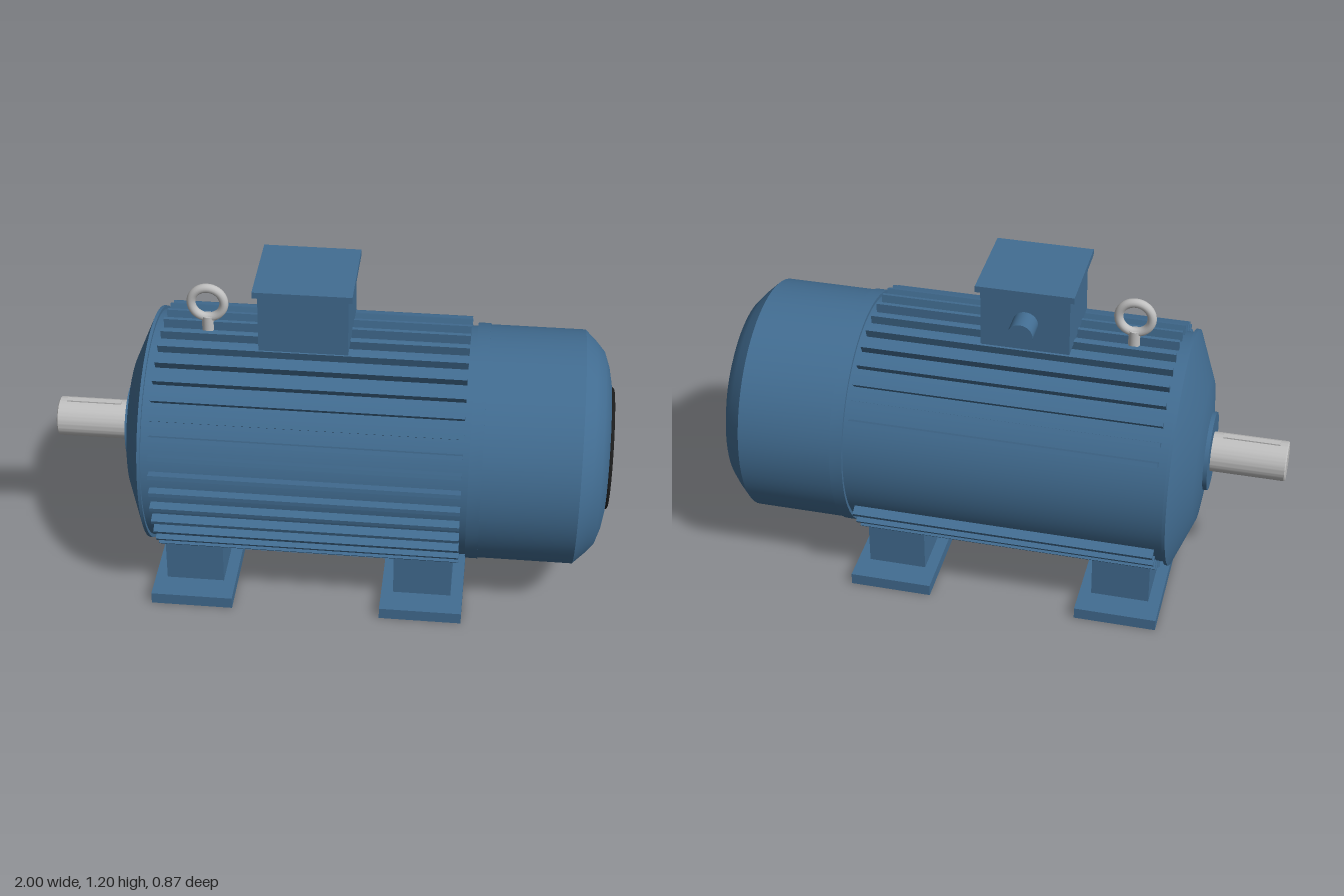
import * as THREE from 'three';
import { toCreasedNormals } from 'three/addons/utils/BufferGeometryUtils.js';

const AXIS_Y = 0.527, AXIS_Z = -0.011;

export function createModel() {
  const paint = new THREE.MeshStandardMaterial({ color: 0x426d92 });
  paint.name = 'blue paint';
  const steel = new THREE.MeshStandardMaterial({ color: 0xc0c0c0 });
  steel.name = 'bare steel';
  const black = new THREE.MeshStandardMaterial({ color: 0x1c1c1c });
  black.name = 'black grille';

  const model = new THREE.Group();
  model.name = 'electricMotor';

  const add = (name, geometry, material, x, y, z, parent = model) => {
    const mesh = new THREE.Mesh(geometry, material);
    mesh.name = name;
    mesh.position.set(x, y, z);
    parent.add(mesh);
    return mesh;
  };
  // Box given by its minimum and maximum on each axis
  const box = (name, material, [x0, x1], [y0, y1], [z0, z1], parent = model) =>
    add(name, new THREE.BoxGeometry(x1 - x0, y1 - y0, z1 - z0), material,
      (x0 + x1) / 2, (y0 + y1) / 2, (z0 + z1) / 2, parent);

  // Everything round the shaft axis lives in this group
  const rotor = new THREE.Group();
  rotor.name = 'motorBody';
  rotor.position.set(0, AXIS_Y, AXIS_Z);
  model.add(rotor);

  // Turned part along x from [x, radius] pairs
  const turned = (name, material, profile) => {
    const points = profile.map(([x, r]) => new THREE.Vector2(r, x));
    const geometry = new THREE.LatheGeometry(points, 72).rotateZ(-Math.PI / 2);
    add(name, toCreasedNormals(geometry, 0.55), material, 0, 0, 0, rotor);
  };

  turned('housing', paint, [[-0.626, 0], [-0.626, 0.411], [0.51, 0.411], [0.51, 0]]);
  turned('driveEndShield', paint, [
    [-0.735, 0], [-0.735, 0.14], [-0.72, 0.14], [-0.705, 0.255],
    [-0.636, 0.423], [-0.625, 0.423], [-0.625, 0],
  ]);
  turned('fanCowl', paint, [
    [0.505, 0], [0.505, 0.423], [0.55, 0.423], [0.55, 0.419], [0.885, 0.419],
    [0.925, 0.381], [0.957, 0.345], [0.975, 0.295], [0.985, 0.245], [0.987, 0],
  ]);
  turned('shaft', steel, [
    [-1, 0], [-1, 0.066], [-0.996, 0.071], [-0.73, 0.071], [-0.73, 0],
  ]);
  box('shaftKey', steel, [-0.97, -0.77], [0.05, 0.075], [-0.011, 0.011], rotor);

  // Cooling fins every 9 degrees, leaving the back side bare
  const finGeometry = new THREE.BoxGeometry(1.078, 0.05, 0.015);
  for (let i = 0; i < 40; i++) {
    const fromBack = Math.abs(((i + 10) % 40) - 20);
    if (Math.abs(i - 30) < 3 && fromBack > 0) continue;
    const angle = (i * Math.PI) / 20;
    const fin = add('coolingFin', finGeometry, paint,
      -0.056, 0.42 * Math.cos(angle), 0.42 * Math.sin(angle), rotor);
    fin.rotation.x = angle;
  }

  // Concentric grille rings on the cowl
  for (const radius of [0.06, 0.11, 0.16, 0.21]) {
    const ring = add('grilleRing', new THREE.TorusGeometry(radius, 0.009, 10, 64), black,
      0.99, 0, 0, rotor);
    ring.rotation.y = Math.PI / 2;
  }

  // Feet
  for (const x of [-0.471, 0.356]) {
    box('footPlate', paint, [x - 0.147, x + 0.147], [0, 0.043], [-0.404, 0.386]);
    box('footPedestal', paint, [x - 0.104, x + 0.104], [0.043, 0.2], [-0.306, 0.286]);
  }

  // Terminal box with lid and cable gland
  box('terminalBox', paint, [-0.24, 0.07], [0.957, 1.172], [-0.159, 0.141]);
  box('terminalBoxLid', paint, [-0.257, 0.085], [1.172, 1.195], [-0.174, 0.154]);
  const gland = add('cableGland', new THREE.CylinderGeometry(0.044, 0.044, 0.1, 32), paint,
    -0.086, 1.063, -0.193);
  gland.rotation.x = Math.PI / 2;

  // Lifting eye
  add('liftingEyeRing', new THREE.TorusGeometry(0.058, 0.016, 14, 40), steel,
    -0.438, 1.045, AXIS_Z);
  add('liftingEyeStem', new THREE.CylinderGeometry(0.022, 0.022, 0.06, 20), steel,
    -0.438, 0.965, AXIS_Z);

  return model;
}
